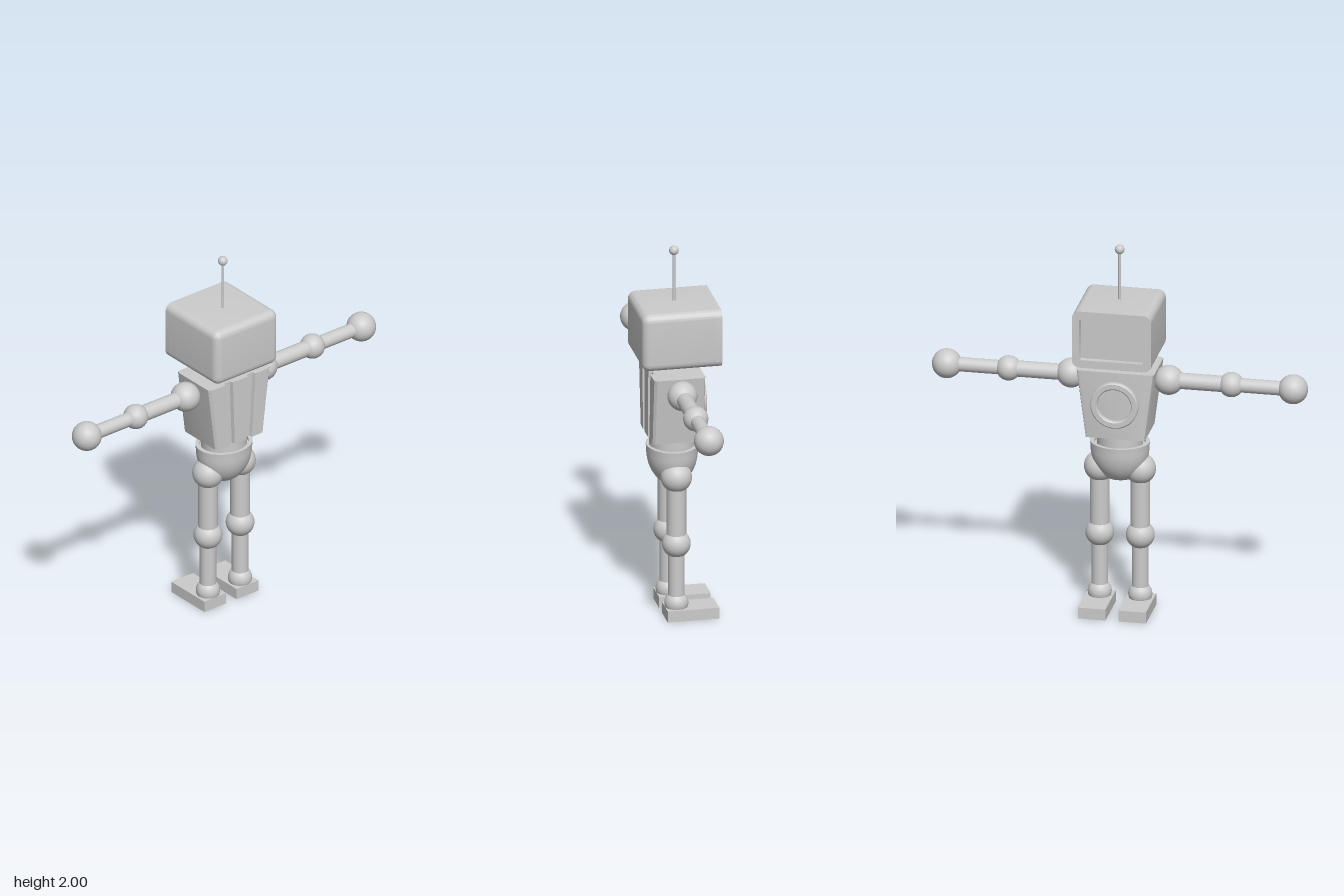
import * as THREE from 'three';
import { toCreasedNormals } from 'three/addons/utils/BufferGeometryUtils.js';
import { RoundedBoxGeometry } from 'three/addons/geometries/RoundedBoxGeometry.js';

const material = new THREE.MeshStandardMaterial({ color: 0xcccccc });
const AXIS_Z = 0.01; // depth of the limbs' centre line

function add(parent, name, geometry, x = 0, y = 0, z = 0) {
  const mesh = new THREE.Mesh(geometry, material);
  mesh.name = name;
  mesh.position.set(x, y, z);
  parent.add(mesh);
  return mesh;
}

const ball = (r) => new THREE.SphereGeometry(r, 32, 20);
const rod = (r, length) => new THREE.CylinderGeometry(r, r, length, 32);

function roundedRect(w, h, r, Type = THREE.Shape) {
  const s = new Type();
  s.absarc(w / 2 - r, h / 2 - r, r, 0, Math.PI / 2);
  s.absarc(-w / 2 + r, h / 2 - r, r, Math.PI / 2, Math.PI);
  s.absarc(-w / 2 + r, -h / 2 + r, r, Math.PI, Math.PI * 1.5);
  s.absarc(w / 2 - r, -h / 2 + r, r, Math.PI * 1.5, Math.PI * 2);
  s.closePath();
  return s;
}

// Head: soft edges on the +z side, flat face with a recessed screen on -z
function buildHead() {
  const head = new THREE.Group();
  head.name = 'head';
  head.position.y = 1.545;
  const w = 0.415, h = 0.31, r = 0.04, face = -0.21, back = 0.205, recess = 0.03;
  const screenZ = face + recess;

  const depth = back - screenZ + r;
  const shell = new RoundedBoxGeometry(w, h, depth, 6, r);
  shell.translate(0, 0, back - depth / 2);
  const p = shell.attributes.position;
  for (let i = 0; i < p.count; i++) p.setZ(i, Math.max(p.getZ(i), screenZ));
  add(head, 'headShell', toCreasedNormals(shell, 0.6));

  const frame = roundedRect(w, h, r);
  frame.holes.push(roundedRect(0.335, 0.225, 0.012, THREE.Path));
  const frameGeometry = new THREE.ExtrudeGeometry(frame, { depth: recess, bevelEnabled: false, curveSegments: 7 });
  add(head, 'screenFrame', toCreasedNormals(frameGeometry, 0.6), 0, 0, face);

  add(head, 'antenna', rod(0.007, 0.28), 0, 0.29, 0);
  add(head, 'antennaTip', ball(0.025), 0, 0.43, 0);
  return head;
}

// Torso: box narrowing downward, with grooves along the +z side
function buildTorso() {
  const torso = new THREE.Group();
  torso.name = 'torso';
  const h = 0.365, bottom = 0.975;
  const half = [
    [0.05, 0.145], [0.055, 0.125], [0.095, 0.125], [0.1, 0.145], [0.14, 0.145], [0.19, 0.143], [0.203, 0.13],
    [0.203, -0.107], [0.198, -0.12], [0.185, -0.125],
  ];
  const outline = [...half, ...half.map(([x, z]) => [-x, z]).reverse()];
  const shape = new THREE.Shape(outline.map(([x, z]) => new THREE.Vector2(x, -z)));
  const body = new THREE.ExtrudeGeometry(shape, { depth: h, bevelEnabled: false });
  body.rotateX(-Math.PI / 2);
  const p = body.attributes.position;
  for (let i = 0; i < p.count; i++) p.setX(i, p.getX(i) * (0.77 + (0.23 * p.getY(i)) / h));
  add(torso, 'torsoBody', toCreasedNormals(body, 0.5), 0, bottom, 0);

  // Raised ring on the chest
  const ringProfile = [[0.088, 0], [0.125, 0], [0.125, 0.019], [0.119, 0.025], [0.094, 0.025], [0.088, 0.019], [0.088, 0]];
  const ring = new THREE.LatheGeometry(ringProfile.map(([r, y]) => new THREE.Vector2(r, y)), 48);
  ring.rotateX(-Math.PI / 2);
  add(torso, 'chestRing', toCreasedNormals(ring, 0.5), 0, 1.165, -0.124);
  return torso;
}

// Pelvis: bowl with a rim and a flat underside
function buildPelvis() {
  const points = [new THREE.Vector2(0, 0.72)];
  for (let i = 0; i <= 12; i++) {
    const a = THREE.MathUtils.lerp(1.08, 0, i / 12);
    points.push(new THREE.Vector2(0.152 * Math.cos(a), 0.885 - 0.187 * Math.sin(a)));
  }
  points.push(new THREE.Vector2(0.155, 0.917), new THREE.Vector2(0.132, 0.917));
  points.push(new THREE.Vector2(0.132, 0.9), new THREE.Vector2(0, 0.9));
  const bowl = new THREE.LatheGeometry(points, 48);
  bowl.scale(1, 1, 0.87);
  return toCreasedNormals(bowl, 0.6);
}

function buildArm(side) {
  const arm = new THREE.Group();
  arm.name = side > 0 ? 'leftArm' : 'rightArm';
  const joints = [['shoulder', 0.255, 0.077], ['elbow', 0.583, 0.065], ['hand', 0.906, 0.077]];
  for (const [name, x, r] of joints) add(arm, name, ball(r), side * x, 1.27, AXIS_Z);
  const bones = [['upperArm', 0.255, 0.583, 0.042], ['forearm', 0.583, 0.906, 0.037]];
  for (const [name, a, b, r] of bones) {
    add(arm, name, rod(r, b - a), (side * (a + b)) / 2, 1.27, AXIS_Z).rotation.z = Math.PI / 2;
  }
  return arm;
}

function buildLeg(side) {
  const leg = new THREE.Group();
  leg.name = side > 0 ? 'leftLeg' : 'rightLeg';
  leg.position.x = side * 0.106;
  const joints = [['hip', 0.77, 0.081], ['knee', 0.405, 0.074], ['ankle', 0.08, 0.062]];
  for (const [name, y, r] of joints) add(leg, name, ball(r), 0, y, AXIS_Z);
  const bones = [['thigh', 0.77, 0.405, 0.051], ['shin', 0.405, 0.08, 0.043]];
  for (const [name, a, b, r] of bones) add(leg, name, rod(r, a - b), 0, (a + b) / 2, AXIS_Z);
  add(leg, 'foot', new THREE.BoxGeometry(0.144, 0.06, 0.27), 0, 0.03, -0.065);
  return leg;
}

export function createModel() {
  const model = new THREE.Group();
  model.name = 'robot';
  model.add(buildHead(), buildTorso());
  add(model, 'neck', rod(0.047, 0.09), 0, 1.365, AXIS_Z);
  add(model, 'waist', rod(0.119, 0.1), 0, 0.935, AXIS_Z);
  add(model, 'pelvis', buildPelvis(), 0, 0, AXIS_Z);
  for (const side of [1, -1]) model.add(buildArm(side), buildLeg(side));
  return model;
}
